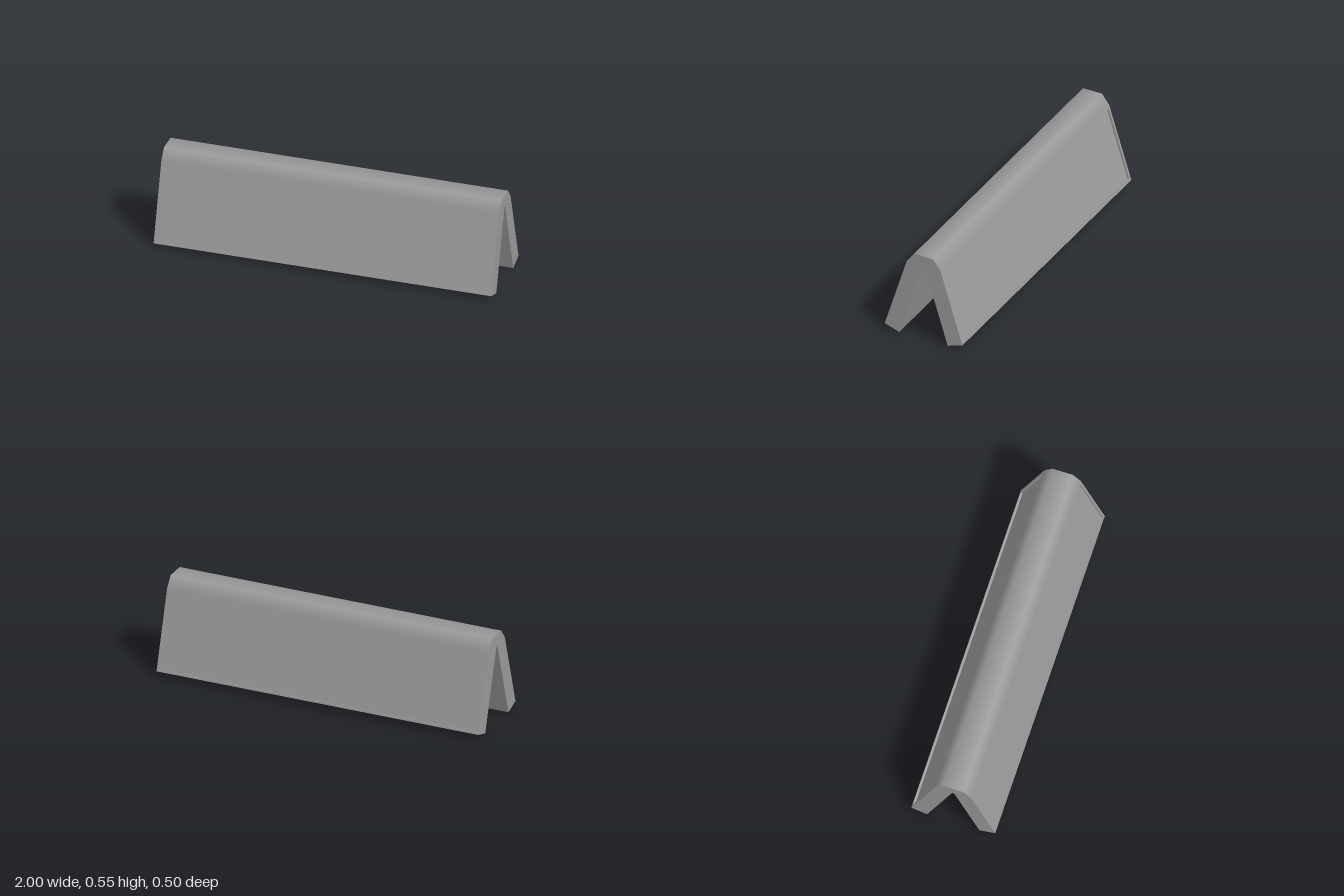
import * as THREE from 'three';

export function createModel() {
  const model = new THREE.Group();
  model.name = 'tentSign';
  const grey = new THREE.MeshStandardMaterial({ color: 0x999999 });
  grey.name = 'matteGrey';

  // Key corners of the cross-section as (z, y)
  const foot = new THREE.Vector2(0.249, 0.03);      // outer lower corner of a leg
  const shoulder = new THREE.Vector2(0.107, 0.487); // top of the sloped face
  const crown = new THREE.Vector2(0.06, 0.548);
  const depth = 0.013; // recess depth of the sign faces
  const slope = shoulder.clone().sub(foot);
  const length = slope.length();
  const tilt = Math.atan2(-slope.x, slope.y);
  const normal = new THREE.Vector2(Math.cos(tilt), Math.sin(tilt));
  const inset = (p) => p.clone().addScaledVector(normal, -depth);

  // Folded body, with its sloped faces set back by the recess depth
  const half = [
    new THREE.Vector2(0.006, 0.478), new THREE.Vector2(0.155, 0),
    inset(foot), inset(shoulder), shoulder, crown,
  ];
  const mirrored = half.map((p) => new THREE.Vector2(-p.x, p.y)).reverse();
  const bodyGeometry = new THREE.ExtrudeGeometry(
    new THREE.Shape([...half, ...mirrored]), { depth: 2, bevelEnabled: false });
  bodyGeometry.rotateY(-Math.PI / 2).translate(1, 0, 0);

  // Smooth shading across the bevelled crown
  const pos = bodyGeometry.attributes.position;
  const nor = bodyGeometry.attributes.normal;
  for (let i = 0; i < pos.count; i++) {
    if (pos.getY(i) < 0.48 || nor.getY(i) < 0.3) continue;
    const lean = pos.getY(i) > 0.52 ? 0.46 : Math.PI / 2 - tilt;
    nor.setXYZ(i, 0, Math.cos(lean), Math.sign(pos.getZ(i)) * Math.sin(lean));
  }
  const body = new THREE.Mesh(bodyGeometry, grey);
  body.name = 'foldedBody';
  model.add(body);

  // Thin raised border around each sign face
  const rectangle = (Type, x, y0, y1) => new Type([
    new THREE.Vector2(-x, y0), new THREE.Vector2(x, y0),
    new THREE.Vector2(x, y1), new THREE.Vector2(-x, y1),
  ]);
  const outline = rectangle(THREE.Shape, 1, 0, length);
  outline.holes.push(rectangle(THREE.Path, 0.985, 0.013, length - 0.017));
  const frameGeometry = new THREE.ExtrudeGeometry(outline, { depth, bevelEnabled: false });
  frameGeometry.translate(0, 0, -depth).rotateX(-tilt).translate(0, foot.y, foot.x);
  for (const [name, turn] of [['frontFrame', 0], ['backFrame', Math.PI]]) {
    const frame = new THREE.Mesh(frameGeometry, grey);
    frame.name = name;
    frame.rotation.y = turn;
    model.add(frame);
  }
  return model;
}
